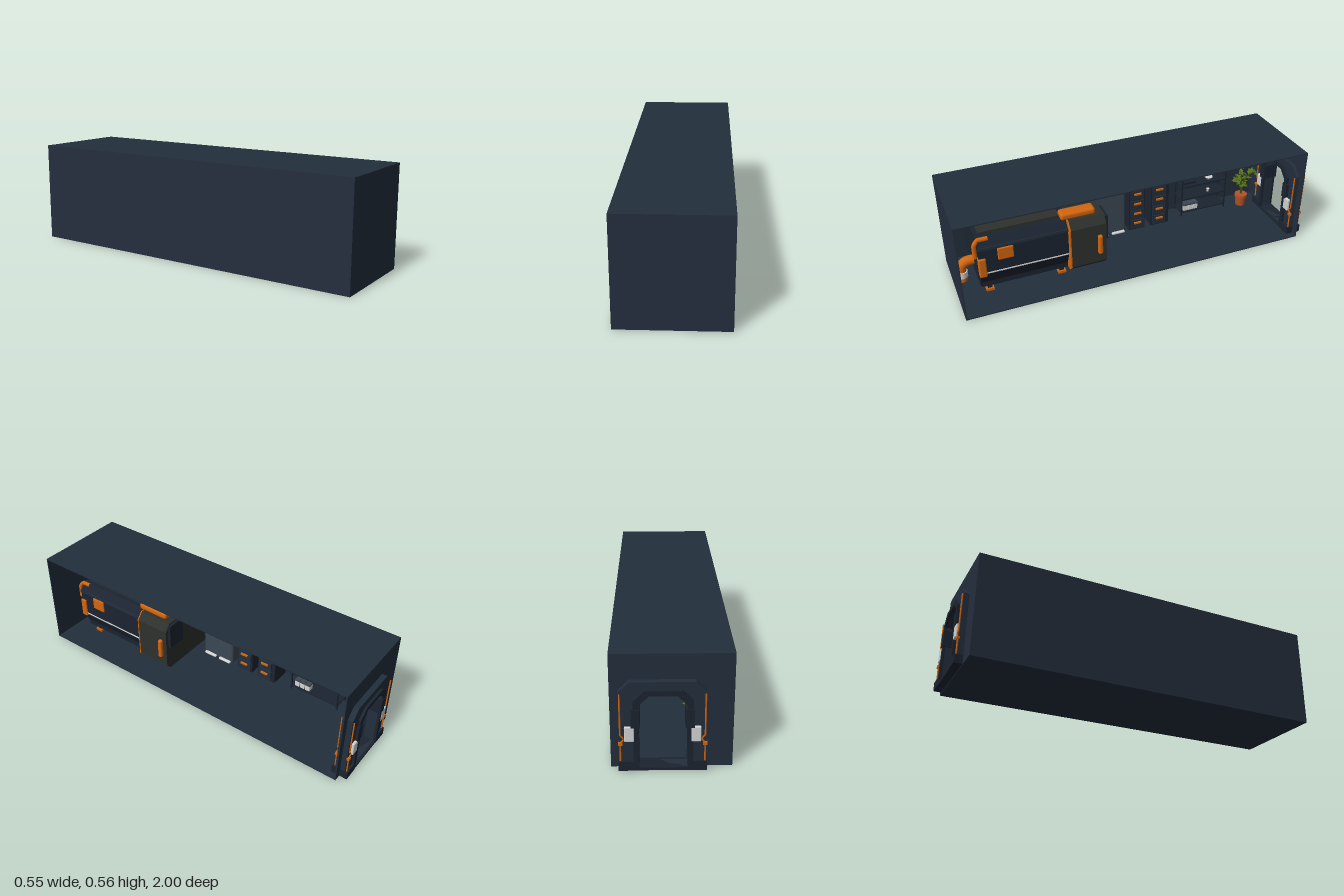
import * as THREE from 'three';
import { RoundedBoxGeometry } from 'three/addons/geometries/RoundedBoxGeometry.js';

export function createModel() {
  const root = new THREE.Group();
  const mat = (name, color, side = THREE.FrontSide) => {
    const m = new THREE.MeshStandardMaterial({ color, side });
    m.name = name;
    return m;
  };
  const navy = mat('navy hull', 0x232e3d);
  const dark = mat('dark panel', 0x1b2430);
  const olive = mat('olive grey', 0x2d312d);
  const slate = mat('slate', 0x3b4753);
  const orange = mat('orange', 0xd2660f);
  const white = mat('white', 0xd4d6d6);
  const clay = mat('clay', 0xb35228);
  const green = mat('leaf green', 0x587218, THREE.DoubleSide);
  const stem = mat('stem green', 0x3d5420);

  const add = (name, geo, m, parent = root) => {
    const mesh = new THREE.Mesh(geo, m);
    mesh.name = name;
    parent.add(mesh);
    return mesh;
  };
  const group = (name) => {
    const g = new THREE.Group();
    g.name = name;
    root.add(g);
    return g;
  };
  // box given by its min and max corners
  const box = (name, m, x0, x1, y0, y1, z0, z1, parent = root, radius = 0) => {
    const s = [x1 - x0, y1 - y0, z1 - z0];
    const g = radius ? new RoundedBoxGeometry(...s, 2, radius) : new THREE.BoxGeometry(...s);
    g.translate((x0 + x1) / 2, (y0 + y1) / 2, (z0 + z1) / 2);
    return add(name, g, m, parent);
  };
  const shapeOf = (pts, Type = THREE.Shape) => new Type(pts.map((p) => new THREE.Vector2(...p)));
  // x-y outline swept along z
  const sweep = (name, m, shape, z0, z1, parent = root) => {
    const g = new THREE.ExtrudeGeometry(shape, { depth: z1 - z0, bevelEnabled: false });
    g.translate(0, 0, z0);
    return add(name, g, m, parent);
  };
  const tube = (name, m, pts, r, parent = root, sides = 8) => {
    const path = new THREE.CurvePath();
    const v = pts.map((p) => new THREE.Vector3(...p));
    for (let i = 1; i < v.length; i++) path.add(new THREE.LineCurve3(v[i - 1], v[i]));
    return add(name, new THREE.TubeGeometry(path, (v.length - 1) * 6, r, sides), m, parent);
  };
  let seed = 7;
  const rand = () => (seed = (seed * 16807) % 2147483647) / 2147483647;

  // doorway outline with chamfered top corners
  const arch = (x0, x1, y0, y1, c) => [[x0, y0], [x1, y0], [x1, y1 - c], [x1 - c, y1], [x0 + c, y1], [x0, y1 - c]];
  const ring = (outer, inner) => {
    const s = shapeOf(outer);
    s.holes.push(shapeOf(inner, THREE.Path));
    return s;
  };
  const L = -0.275, R = 0.273, H = 0.558, T = 0.006, B = -0.957;
  const opening = arch(-0.07, 0.145, 0.018, 0.375, 0.045);

  // hull, open on its left side
  const hull = group('hull');
  box('floor', navy, L, R, 0, T, B, 1, hull);
  box('ceiling', navy, L, R, H - T, H, B, 1, hull);
  box('longWall', navy, L, L + T, T, H - T, B, 1, hull);
  box('frontWall', navy, L + T, R, T, H - T, 1 - T, 1, hull);
  sweep('doorWall', navy, ring([[L + T, T], [R, T], [R, H - T], [L + T, H - T]], opening), B, B + T, hull);

  // door frame
  const door = group('doorFrame');
  sweep('outerFrame', navy, ring(arch(-0.155, 0.235, 0.004, 0.437, 0.05), opening), -0.985, -0.93, door);
  sweep('innerFrame', dark, ring(arch(-0.095, 0.17, 0.004, 0.4, 0.05), opening), -0.998, -0.915, door);
  for (const s of [-1, 1]) {
    const at = (d) => 0.04 + s * d;
    const span = (a, b) => [Math.min(at(a), at(b)), Math.max(at(a), at(b))];
    box('frameFoot', dark, ...span(0.115, 0.198), 0.004, 0.05, -1, -0.912, door);
    box('frameBrace', dark, ...span(0.1, 0.14), 0.22, 0.31, -1, -0.912, door);
    for (const [z0, z1, zp] of [[-1, -0.985, -0.99], [-0.93, -0.913, -0.925]]) {
      box('wallControl', white, ...span(0.125, 0.17), 0.15, 0.225, z0, z1, door, 0.005);
      tube('doorConduit', orange, [[at(0.188), 0.02, zp], [at(0.188), 0.14, zp], [at(0.17), 0.16, zp],
        [at(0.188), 0.18, zp], [at(0.188), 0.385, zp]], 0.004, door);
      box('conduitClip', orange, ...span(0.178, 0.197), 0.13, 0.145, zp - 0.007, zp + 0.007, door);
    }
  }

  // sleeping pod
  const pod = group('sleepingPod');
  const podShape = shapeOf([[-0.268, 0.06], [0.1, 0.06], [0.115, 0.09], [0.15, 0.17],
    [0.15, 0.33], [0.115, 0.37], [-0.268, 0.37]]);
  sweep('podBody', dark, podShape, 0.4, 0.88, pod);
  sweep('podHead', olive, shapeOf([[-0.268, 0.065], [0.15, 0.065], [0.178, 0.095], [0.178, 0.33],
    [0.145, 0.372], [-0.268, 0.372]]), 0.2, 0.398, pod);
  box('podRoof', olive, -0.268, 0.09, 0.37, 0.386, 0.43, 0.86, pod);
  box('podBase', dark, -0.268, 0.115, 0.06, 0.09, 0.23, 0.875, pod);
  box('podTrim', white, 0.145, 0.154, 0.168, 0.174, 0.4, 0.88, pod);
  box('podRail', navy, 0.14, 0.156, 0.315, 0.33, 0.4, 0.88, pod);
  sweep('podSeam', orange, shapeOf([[0.1, 0.065], [0.151, 0.065], [0.181, 0.094], [0.181, 0.332],
    [0.147, 0.375], [0.1, 0.375]]), 0.397, 0.403, pod);
  box('podWindow', orange, 0.145, 0.158, 0.238, 0.31, 0.698, 0.782, pod, 0.006);
  box('podTopHandle', orange, 0.06, 0.13, 0.368, 0.408, 0.24, 0.432, pod, 0.015);
  box('podDoorHandle', orange, 0.17, 0.198, 0.15, 0.268, 0.224, 0.25, pod, 0.01);
  box('podEndTrim', dark, 0.05, 0.16, 0.22, 0.365, 0.183, 0.2, pod);
  tube('podCornerBar', orange, [[0.13, 0.37, 0.82], [0.13, 0.37, 0.875], [0.135, 0.345, 0.895], [0.135, 0.27, 0.895]], 0.012, pod);
  box('podSideGrip', orange, 0.12, 0.16, 0.15, 0.265, 0.845, 0.885, pod, 0.008);
  for (const z of [0.43, 0.83]) for (const x of [-0.2, 0.07]) {
    box('podLeg', dark, x - 0.012, x + 0.012, 0.02, 0.06, z - 0.012, z + 0.012, pod);
    box('podFoot', orange, x - 0.022, x + 0.022, T, 0.02, z - 0.022, z + 0.022, pod);
  }

  // floor pipe with elbow into the pod
  const pipe = group('floorPipe');
  const px = -0.05;
  add('pipeRiser', new THREE.CylinderGeometry(0.026, 0.026, 0.09, 16).translate(px, 0.055, 0.95), orange, pipe);
  add('pipeElbow', new THREE.TubeGeometry(new THREE.QuadraticBezierCurve3(new THREE.Vector3(px, 0.09, 0.95),
    new THREE.Vector3(px, 0.135, 0.945), new THREE.Vector3(px, 0.13, 0.88)), 12, 0.028, 16), orange, pipe);
  add('pipeBand', new THREE.CylinderGeometry(0.032, 0.032, 0.035, 16).translate(px, 0.055, 0.95), white, pipe);

  // twin cabinet with round vents and white trays
  const cabin = group('washCabinet');
  box('cabinetBody', slate, -0.268, -0.13, 0.015, 0.355, -0.037, 0.17, cabin, 0.015);
  for (const z of [0.115, 0.014]) {
    add('vent', new THREE.CylinderGeometry(0.015, 0.015, 0.008, 16).rotateZ(Math.PI / 2).translate(-0.128, 0.317, z), dark, cabin);
    box('tray', white, -0.14, -0.115, 0.022, 0.036, z - 0.04, z + 0.04, cabin, 0.006);
  }

  // drawer stacks
  for (const [z0, z1] of [[-0.165, -0.065], [-0.32, -0.205]]) {
    const stack = group('drawerStack');
    box('drawerCase', dark, -0.268, -0.15, T, 0.28, z0, z1, stack);
    const mid = z1 - 0.05;
    for (let i = 0; i < 4; i++) {
      const y = 0.016 + i * 0.066;
      box('drawer', navy, -0.15, -0.142, y, y + 0.058, mid - 0.042, mid + 0.042, stack);
      box('drawerHandle', orange, -0.142, -0.132, y + 0.036, y + 0.046, mid - 0.022, mid + 0.022, stack);
    }
  }

  // shelf rack and its contents
  const rack = group('shelfRack');
  for (const z of [-0.42, -0.712]) for (const x of [-0.264, -0.172]) {
    box('rackPost', dark, x - 0.004, x + 0.004, T, 0.285, z - 0.004, z + 0.004, rack);
  }
  for (const y of [0.028, 0.118, 0.205, 0.282]) box('rackShelf', dark, -0.268, -0.168, y, y + 0.007, -0.716, -0.416, rack);
  for (const z of [-0.452, -0.485, -0.518]) {
    box('canister', white, -0.215, -0.178, 0.035, 0.07, z - 0.014, z + 0.014, rack);
    box('canisterLid', slate, -0.217, -0.176, 0.07, 0.08, z - 0.015, z + 0.015, rack);
  }
  const bowl = (r, h, x, y, z) => add('bowl', new THREE.CylinderGeometry(r, r * 0.6, h, 12).translate(x, y + h / 2, z), white, rack);
  bowl(0.026, 0.014, -0.21, 0.212, -0.615);
  bowl(0.01, 0.022, -0.2, 0.125, -0.61);
  bowl(0.025, 0.02, -0.215, 0.289, -0.53);
  box('toolbox', dark, -0.25, -0.19, 0.212, 0.225, -0.52, -0.44, rack);

  // leaves are flat pointed blades
  const blade = shapeOf([[0, 0], [0.35, 0.4], [0, 1], [-0.35, 0.4]]);
  const leaf = (parent, x, y, z, size, tilt, turn) => {
    const m = add('leaf', new THREE.ShapeGeometry(blade), green, parent);
    m.position.set(x, y, z);
    m.rotation.set(tilt, turn, 0, 'YXZ');
    m.scale.setScalar(size);
  };
  const bush = group('shelfPlant');
  add('bushCore', new THREE.ConeGeometry(0.042, 0.045, 7).translate(-0.215, 0.312, -0.64), green, bush);
  for (let i = 0; i < 16; i++) leaf(bush, -0.215, 0.292, -0.64, 0.05, 0.2 + rand() * 1.1, i * 2.4);

  // potted plant
  const plant = group('pottedPlant');
  const cx = -0.155, cz = -0.822;
  add('pot', new THREE.CylinderGeometry(0.034, 0.029, 0.062, 14).translate(cx, 0.042, cz), clay, plant);
  add('potRim', new THREE.CylinderGeometry(0.039, 0.039, 0.016, 14).translate(cx, 0.077, cz), clay, plant);
  for (let i = 0; i < 7; i++) {
    const a = i * 2.4, reach = 0.035 + rand() * 0.05, h = 0.17 + rand() * 0.1;
    const end = [cx + Math.cos(a) * reach, h, cz + Math.sin(a) * reach];
    const curve = new THREE.QuadraticBezierCurve3(new THREE.Vector3(cx, 0.08, cz),
      new THREE.Vector3(cx, h * 0.9, cz), new THREE.Vector3(...end));
    add('plantStem', new THREE.TubeGeometry(curve, 8, 0.004, 5), stem, plant);
    for (let k = 0; k < 8; k++) {
      const p = curve.getPoint(0.45 + k * 0.078);
      leaf(plant, p.x, p.y, p.z, 0.028 + rand() * 0.014, 0.3 + rand() * 1.4, rand() * 6.28);
    }
  }
  return root;
}
